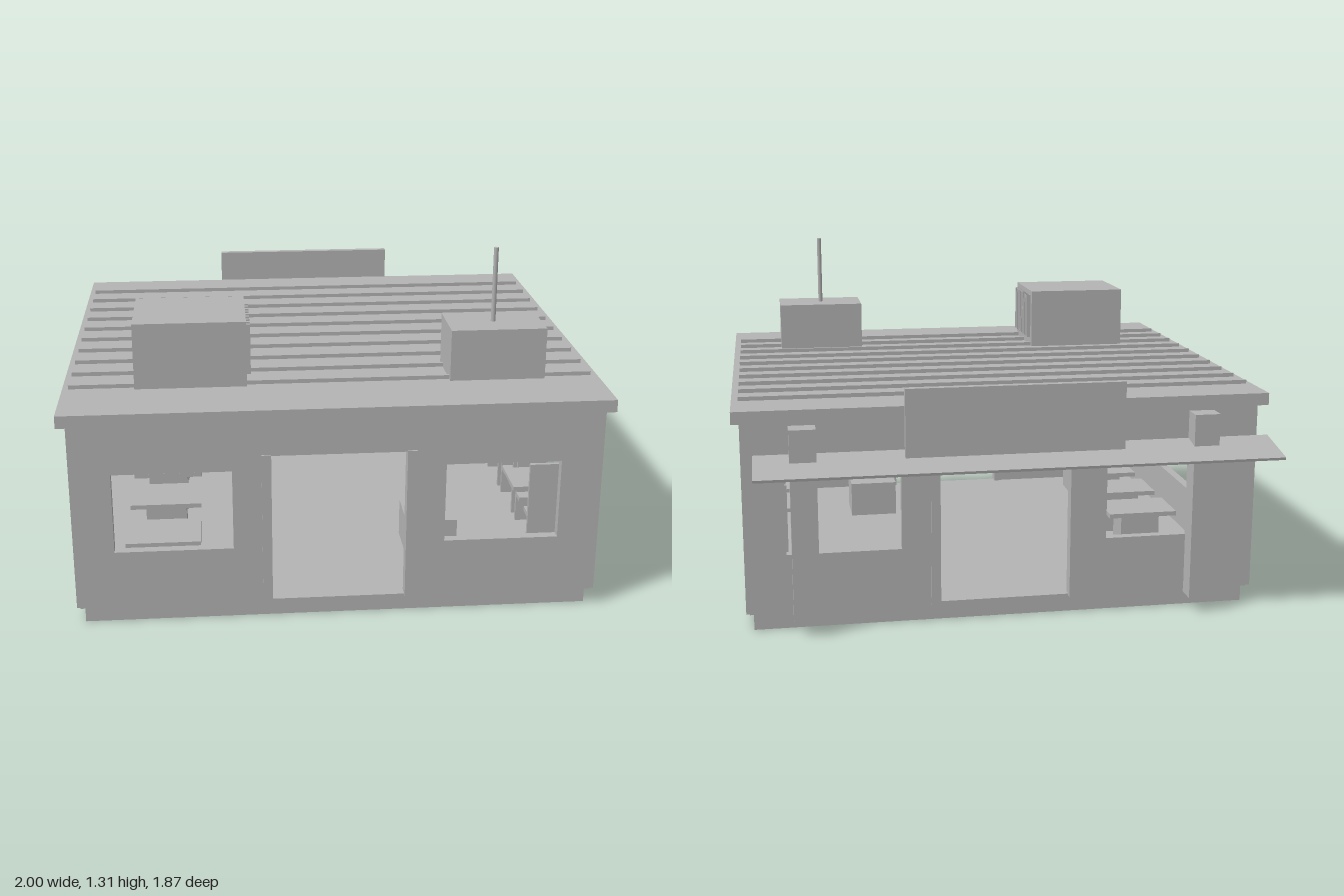
import * as THREE from 'three';

export function createModel() {
  const model = new THREE.Group();
  model.name = 'diner';
  const grey = new THREE.MeshStandardMaterial({ color: 0xb4b4b4 });
  grey.name = 'plainGrey';

  const add = (name, geometry, parent = model) => {
    const mesh = new THREE.Mesh(geometry, grey);
    mesh.name = name;
    parent.add(mesh);
    return mesh;
  };
  // Box given by its limits on each axis
  const box = (name, x0, x1, y0, y1, z0, z1, parent) => {
    const mesh = add(name, new THREE.BoxGeometry(x1 - x0, y1 - y0, z1 - z0), parent);
    mesh.position.set((x0 + x1) / 2, (y0 + y1) / 2, (z0 + z1) / 2);
    return mesh;
  };
  const rect = (x0, x1, y0, y1) => [[x0, y0], [x0, y1], [x1, y1], [x1, y0]].map(p => new THREE.Vector2(...p));
  const T = 0.035; // wall thickness
  const wall = (name, outline, holes) => {
    const shape = new THREE.Shape(outline.map(p => new THREE.Vector2(...p)));
    holes.forEach(h => shape.holes.push(new THREE.Path(rect(...h))));
    return add(name, new THREE.ExtrudeGeometry(shape, { depth: T, bevelEnabled: false }));
  };

  // Base and floor
  box('base', -0.93, 0.94, 0, 0.07, -0.712, 0.884);
  box('floor', -0.945, 0.955, 0.062, 0.072, -0.722, 0.9);

  // Front and back walls with a doorway and two windows each
  const outline = [[-0.957, 0.07], [-0.26, 0.07], [-0.26, 0.65], [0.27, 0.65], [0.27, 0.07],
    [0.967, 0.07], [0.967, 0.79], [-0.957, 0.79]];
  const windows = [[-0.81, -0.38, 0.29, 0.595], [0.393, 0.815, 0.29, 0.595]];
  wall('frontWall', outline, windows).position.z = 0.908 - T;
  wall('backWall', outline, windows).position.z = -0.735;

  // Side walls, each with one wide window
  const z0 = -0.735 + T, z1 = 0.908 - T;
  for (const [name, x] of [['rightWall', -0.957], ['leftWall', 0.967 - T]]) {
    const side = wall(name, [[-z1, 0.07], [-z0, 0.07], [-z0, 0.79], [-z1, 0.79]], [[-0.39, 0.22, 0.265, 0.595]]);
    side.rotation.y = Math.PI / 2;
    side.position.x = x;
  }

  // Door posts on both doorways
  for (const [x0, x1] of [[-0.275, -0.24], [0.25, 0.285]]) {
    box('frontDoorPost', x0, x1, 0.065, 0.655, 0.865, 0.915);
    box('backDoorPost', x0, x1, 0.065, 0.655, -0.742, -0.692);
  }

  // Roof slab and its ribs
  box('roof', -0.987, 0.995, 0.79, 0.836, -0.767, 0.938);
  for (let i = 0; i < 10; i++) {
    const z = 0.665 - i * 0.1385;
    box('roofRib', -0.965, 0.97, 0.83, 0.851, z - 0.006, z + 0.006);
  }

  // Rooftop vent unit with louvres
  box('ventUnit', -0.725, -0.315, 0.83, 1.083, 0.359, 0.69);
  for (let i = 0; i < 9; i++) {
    const z = 0.393 + i * 0.0328;
    box('ventLouvre', -0.32, -0.3, 0.874, 1.063, z - 0.006, z + 0.006);
  }

  // Second rooftop unit with antenna
  box('roofUnit', 0.435, 0.79, 0.83, 1.03, 0.472, 0.692);
  add('antenna', new THREE.CylinderGeometry(0.009, 0.009, 0.29, 8)).position.set(0.61, 1.167, 0.582);

  // Sloping awning, pillars and sign at the back
  const awning = box('awning', -1, 0.925, 0.638, 0.648, -0.926, -0.733);
  awning.rotation.x = -0.21;
  for (const x of [-0.738, 0.748]) box('backPillar', x - 0.048, x + 0.048, 0.058, 0.772, -0.808, -0.73);
  box('signBoard', -0.39, 0.397, 0.686, 0.932, -0.928, -0.9);
  for (const x of [-0.356, 0.362]) box('signStrut', x - 0.008, x + 0.008, 0.727, 0.743, -0.902, -0.73);

  // Booths along the left wall: a table between two facing benches
  for (const z of [-0.135, 0.142, 0.418]) {
    const booth = new THREE.Group();
    booth.name = 'booth';
    booth.position.z = z;
    model.add(booth);
    box('tableTop', 0.74, 0.925, 0.297, 0.312, -0.095, 0.095, booth);
    box('tableLeg', 0.83, 0.86, 0.07, 0.3, -0.015, 0.015, booth);
    for (const s of [-1, 1]) {
      box('benchBack', 0.8, 0.925, 0.07, 0.413, s * 0.103 - 0.008, s * 0.103 + 0.008, booth);
      box('benchSeat', 0.8, 0.925, 0.18, 0.2, s * 0.07 - 0.03, s * 0.07 + 0.03, booth);
    }
  }

  // Low counters inside
  for (const z of [-0.25, 0.05, 0.35, 0.68]) {
    box('counterTop', -0.78, -0.5, 0.24, 0.258, z - 0.1, z + 0.1);
    box('counterBase', -0.72, -0.56, 0.07, 0.24, z - 0.06, z + 0.06);
  }
  box('servingTable', 0.3, 0.5, 0.07, 0.22, 0.4, 0.6);

  return model;
}
